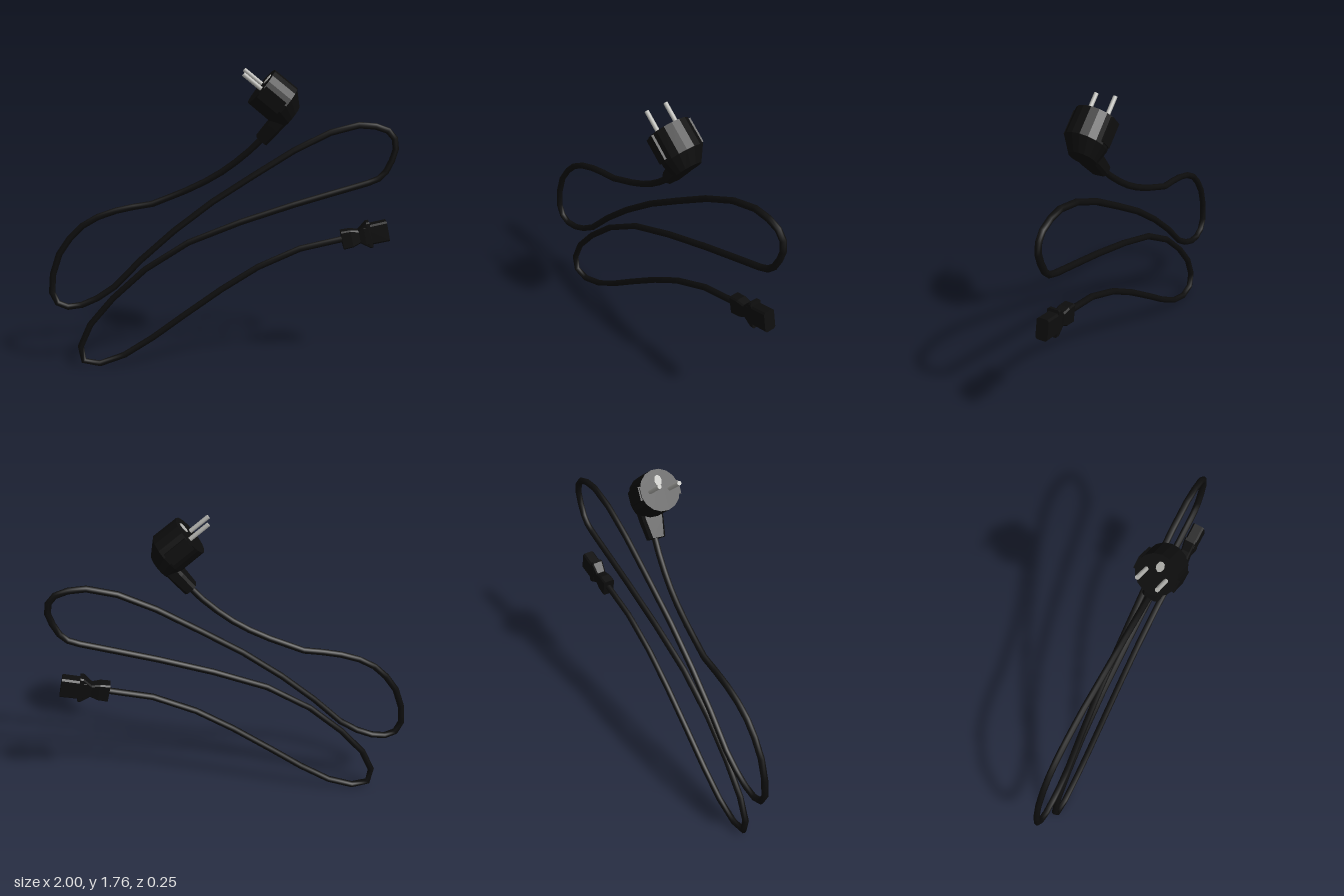
import * as THREE from 'three';

const black = new THREE.MeshStandardMaterial({ color: 0x0d0d0d });
black.name = 'black rubber';
const metal = new THREE.MeshStandardMaterial({ color: 0xb4b4b0 });
metal.name = 'pin metal';

// Curve through fixed points with sharp bends
class Polyline extends THREE.Curve {
  constructor(points) { super(); this.points = points; }
  at(i) { return this.points[THREE.MathUtils.clamp(i, 0, this.points.length - 1)]; }
  index(u) { return Math.round(u * (this.points.length - 1)); }
  getPointAt(u) { return this.at(this.index(u)).clone(); }
  getTangentAt(u) {
    const i = this.index(u), p = this.at(i);
    const before = p.clone().sub(this.at(i - 1)).normalize();
    return before.add(this.at(i + 1).clone().sub(p).normalize()).normalize();
  }
}

// Closed, faceted solid through convex cross-sections along +x
function loft(rings) {
  const pos = [], n = rings[0].length;
  const tri = (a, b, c) => pos.push(...a, ...b, ...c);
  for (let i = 0; i < rings.length - 1; i++) {
    for (let j = 0; j < n; j++) {
      const k = (j + 1) % n, A = rings[i], B = rings[i + 1];
      tri(A[j], A[k], B[k]);
      tri(A[j], B[k], B[j]);
    }
  }
  const first = rings[0], last = rings[rings.length - 1];
  for (let j = 1; j < n - 1; j++) {
    tri(first[0], first[j + 1], first[j]);
    tri(last[0], last[j], last[j + 1]);
  }
  const g = new THREE.BufferGeometry();
  g.setAttribute('position', new THREE.Float32BufferAttribute(pos, 3));
  g.computeVertexNormals();
  return g;
}

// Round section, and rectangular section with cut corners
const roundRing = (x, r, cy = 0, n = 16) => Array.from({ length: n }, (_, j) => {
  const a = ((j + 0.5) / n) * Math.PI * 2;
  return [x, cy + r * Math.cos(a), r * Math.sin(a)];
});
const boxRing = (x, h, d, c) => [
  [h, -d + c], [h, d - c], [h - c, d], [-h + c, d],
  [-h, d - c], [-h, -d + c], [-h + c, -d], [h - c, -d],
].map(([y, z]) => [x, y, z]);

function add(parent, name, geometry, material) {
  const mesh = new THREE.Mesh(geometry, material);
  mesh.name = name;
  parent.add(mesh);
  return mesh;
}

function makeCable() {
  // Path in x, y from the plug to the appliance connector
  const path = [
    [0.245, 1.4], [0.16, 1.31], [0.08, 1.24], [0, 1.18], [-0.09, 1.125], [-0.2, 1.07], [-0.39, 0.99],
    [-0.5, 0.972], [-0.6, 0.95], [-0.705, 0.913], [-0.795, 0.86], [-0.865, 0.79], [-0.93, 0.695],
    [-0.97, 0.575], [-0.98, 0.465], [-0.95, 0.4], [-0.89, 0.375], [-0.81, 0.387], [-0.72, 0.427],
    [-0.62, 0.495], [-0.46, 0.66], [-0.27, 0.83], [-0.05, 1.0], [0.18, 1.15], [0.41, 1.295],
    [0.61, 1.395], [0.77, 1.437], [0.865, 1.43], [0.935, 1.405], [0.973, 1.36], [0.981, 1.3],
    [0.962, 1.235], [0.93, 1.17], [0.89, 1.13], [0.83, 1.105], [0.61, 1.04], [0.41, 0.98],
    [0.11, 0.88], [-0.19, 0.76], [-0.44, 0.6], [-0.63, 0.425], [-0.765, 0.265], [-0.825, 0.13],
    [-0.81, 0.04], [-0.715, 0.022], [-0.57, 0.075], [-0.4, 0.185], [-0.22, 0.32], [0, 0.48],
    [0.21, 0.615], [0.45, 0.725], [0.72, 0.788],
  ];
  const points = path.map(([x, y], i) => {
    let z = -0.102;
    if (i < 6) z += 0.076 * (y - 0.99) / 0.41;                  // rises to the plug
    if (i > 45) z += 0.017 * (y - 0.075) / 0.713;               // rises to the connector
    return new THREE.Vector3(x, y, z);
  });
  return new THREE.TubeGeometry(new Polyline(points), points.length - 1, 0.0185, 8, false);
}

function makePlug() {
  // Local +x runs back from the pin face, -y runs down the sleeve
  const plug = new THREE.Group();
  plug.name = 'wallPlug';

  add(plug, 'plugHead', loft([
    roundRing(0, 0.115), roundRing(0.157, 0.117), roundRing(0.232, 0.078, -0.03),
  ]), black);

  const sleeve = add(plug, 'plugSleeve', loft([
    boxRing(0, 0.038, 0.07, 0.012), boxRing(0.1, 0.038, 0.062, 0.014), boxRing(0.2, 0.036, 0.048, 0.016),
  ]), black);
  sleeve.rotation.z = -Math.PI / 2;
  sleeve.position.set(0.194, -0.029, 0);

  for (const side of [-1, 1]) {
    const rib = add(plug, 'sideGuide', new THREE.BoxGeometry(0.14, 0.075, 0.03), black);
    rib.position.set(0.075, 0, side * 0.106);

    const pin = add(plug, 'pin', new THREE.CylinderGeometry(0.0125, 0.0125, 0.13, 8), metal);
    pin.rotation.z = Math.PI / 2;
    pin.position.set(-0.06, 0, side * 0.058);
  }

  // Earth contact on the pin face
  const contact = add(plug, 'earthContact', new THREE.CylinderGeometry(0.022, 0.022, 0.006, 8), metal);
  contact.rotation.z = Math.PI / 2;
  contact.scale.x = 1.4;
  contact.position.set(-0.001, 0.052, 0);

  // Orient by the pin axis, with a small roll about it
  const roll = 0.115;
  const back = new THREE.Vector3(0.77, -0.635, 0).normalize();
  const up = new THREE.Vector3(0.635, 0.77, 0).normalize().applyAxisAngle(back, roll);
  const side = back.clone().cross(up);
  plug.quaternion.setFromRotationMatrix(new THREE.Matrix4().makeBasis(back, up, side));
  plug.position.set(0.216, 1.67, 0.003);
  return plug;
}

function makeConnector() {
  const connector = new THREE.Group();
  connector.name = 'applianceConnector';
  // Grip: flange, waist and finger stop
  add(connector, 'connectorGrip', loft([
    [0, 0.054, 0.034], [0.055, 0.052, 0.034], [0.1, 0.038, 0.03], [0.15, 0.077, 0.035], [0.168, 0.077, 0.035],
  ].map(([x, h, d]) => boxRing(x, h, d, 0.008))), black);
  // Socket block with cut corners
  add(connector, 'connectorSocket', loft([
    boxRing(0.13, 0.058, 0.035, 0.01), boxRing(0.266, 0.06, 0.035, 0.01),
  ]), black);
  connector.position.set(0.69, 0.778, -0.085);
  connector.rotation.z = 0.21;
  return connector;
}

export function createModel() {
  const model = new THREE.Group();
  model.name = 'powerCord';
  add(model, 'cable', makeCable(), black);
  model.add(makePlug(), makeConnector());
  return model;
}
